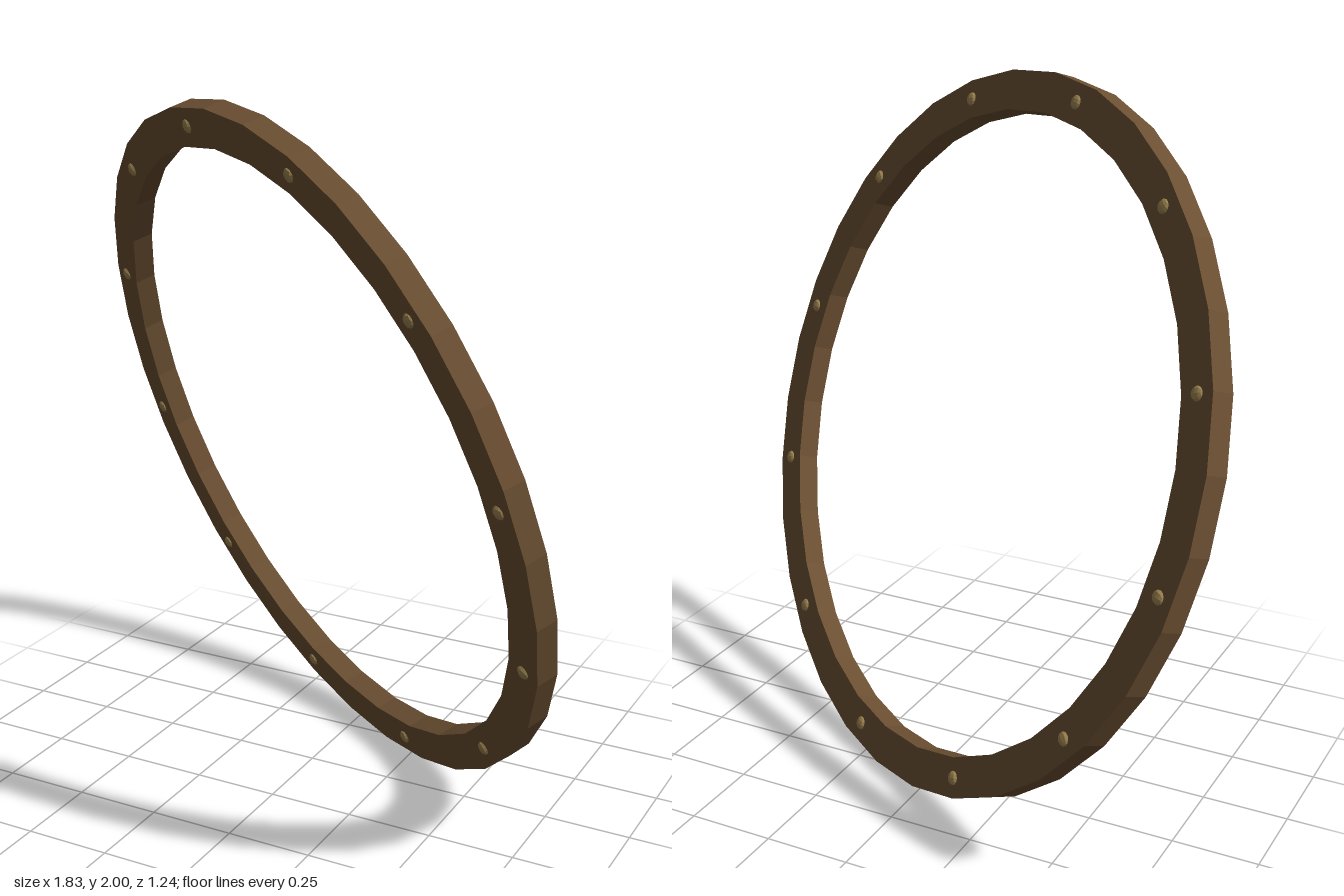
import * as THREE from 'three';

const OUTER = 1.034, INNER = 0.921, HALF = 0.033, STUDS = 12;

export function createModel() {
  const model = new THREE.Group();
  model.name = 'studdedRing';
  const bronze = new THREE.MeshStandardMaterial({ color: 0x6b4f32, flatShading: true });
  const brass = new THREE.MeshStandardMaterial({ color: 0x9c8350, flatShading: true });

  // Faceted band with a rectangular section, lying in the local xy plane
  const profile = [
    [INNER, -HALF], [OUTER, -HALF], [OUTER, HALF], [INNER, HALF], [INNER, -HALF],
  ].map(([r, y]) => new THREE.Vector2(r, y));
  const band = new THREE.Mesh(new THREE.LatheGeometry(profile, 32).rotateX(Math.PI / 2), bronze);
  band.name = 'band';
  model.add(band);

  // Low studs evenly spaced on both faces
  const studGeometry = new THREE.SphereGeometry(0.02, 8, 6).scale(1, 1, 0.5);
  for (let i = 0; i < STUDS; i++) {
    const a = THREE.MathUtils.degToRad(22.5 + i * 360 / STUDS);
    const r = (OUTER + INNER) / 2;
    for (const side of [-1, 1]) {
      const stud = new THREE.Mesh(studGeometry, brass);
      stud.name = side > 0 ? 'frontStud' : 'backStud';
      stud.position.set(r * Math.sin(a), r * Math.cos(a), side * HALF);
      stud.rotation.z = -a;
      model.add(stud);
    }
  }

  // Tilt the ring: local z becomes the ring's axis, local y its highest direction
  const axis = new THREE.Vector3(-0.493, -0.292, 0.82).normalize();
  const up = new THREE.Vector3(0, 1, 0).projectOnPlane(axis).normalize();
  const across = new THREE.Vector3().crossVectors(up, axis);
  model.quaternion.setFromRotationMatrix(new THREE.Matrix4().makeBasis(across, up, axis));
  model.position.y = 1;

  const root = new THREE.Group();
  root.name = 'ring';
  root.add(model);
  return root;
}
